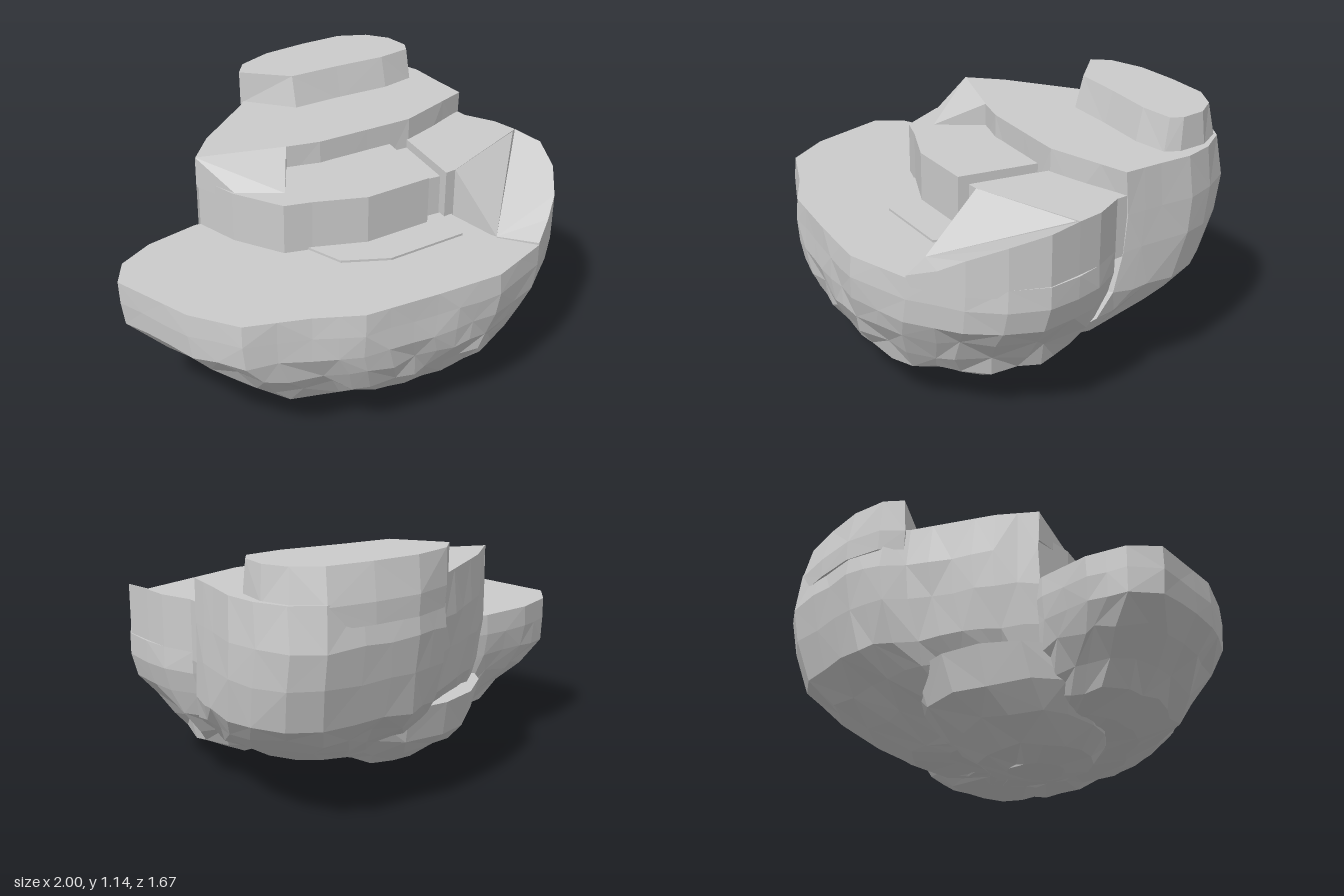
import * as THREE from 'three';
import { ConvexGeometry } from 'three/addons/geometries/ConvexGeometry.js';

const material = new THREE.MeshStandardMaterial({ color: 0xcccccc, flatShading: true, side: THREE.DoubleSide });

let seed = 7;
const noise = () => {
  seed = (seed * 16807) % 2147483647;
  return seed / 2147483647 - 0.5;
};

// Split the edges of an outline into pieces of about the given length
const refine = (outline, step) => outline.flatMap(([x, z], i) => {
  const [u, w] = outline[(i + 1) % outline.length];
  const n = Math.max(1, Math.round(Math.hypot(u - x, w - z) / step));
  return Array.from({ length: n }, (_, k) => [x + (u - x) * k / n, z + (w - z) * k / n]);
});

// Fit an outline into the box x0..x1, z0..z1
function fit(outline, [x0, x1, z0, z1]) {
  const xs = outline.map(p => p[0]), zs = outline.map(p => p[1]);
  const a = Math.min(...xs), b = Math.max(...xs), c = Math.min(...zs), d = Math.max(...zs);
  return outline.map(([x, z]) => [x0 + (x - a) / (b - a) * (x1 - x0), z0 + (z - c) / (d - c) * (z1 - z0)]);
}

// Closed rock from an outline (clockwise seen from above) and levels [y, box, roughness], top first
function rock(name, outline, levels, step = Infinity) {
  const base = refine(outline, step);
  const rings = levels.map(([y, box, rough = 0]) => (box ? fit(base, box) : base).map(([x, z]) =>
    new THREE.Vector3(x + noise() * rough, y + noise() * rough, z + noise() * rough)));
  const pos = [];
  const tri = (...v) => v.forEach(p => pos.push(p.x, p.y, p.z));
  const cap = (ring, up) => {
    const flat = ring.map(p => new THREE.Vector2(p.x, p.z));
    for (const [i, j, k] of THREE.ShapeUtils.triangulateShape(flat, [])) {
      const [a, b, c] = [ring[i], ring[j], ring[k]];
      const faceUp = (b.z - a.z) * (c.x - a.x) - (b.x - a.x) * (c.z - a.z) > 0;
      if (faceUp === up) tri(a, b, c); else tri(a, c, b);
    }
  };
  cap(rings[0], true);
  cap(rings[rings.length - 1], false);
  for (let r = 0; r + 1 < rings.length; r++) {
    const n = base.length;
    for (let i = 0; i < n; i++) {
      const j = (i + 1) % n, [a, b, c, d] = [rings[r][i], rings[r][j], rings[r + 1][j], rings[r + 1][i]];
      if ((i + r) % 2) { tri(a, b, c); tri(a, c, d); } else { tri(a, b, d); tri(b, c, d); }
    }
  }
  const geometry = new THREE.BufferGeometry();
  geometry.setAttribute('position', new THREE.Float32BufferAttribute(pos, 3));
  geometry.computeVertexNormals();
  const mesh = new THREE.Mesh(geometry, material);
  mesh.name = name;
  return mesh;
}

function hull(name, points) {
  const mesh = new THREE.Mesh(new ConvexGeometry(points.map(p => new THREE.Vector3(...p))), material);
  mesh.name = name;
  return mesh;
}

export function createModel() {
  const group = new THREE.Group();
  group.name = 'terracedRock';

  // Broad front rock with the flat lower terrace
  group.add(rock('frontRock', [
    [-1, 0.19], [-0.94, 0.06], [-0.79, -0.04], [-0.56, -0.11], [0.1, -0.15], [0.82, -0.17], [0.91, -0.05],
    [0.96, 0.06], [1, 0.2], [0.96, 0.36], [0.88, 0.5], [0.7, 0.67], [0.43, 0.8], [0.13, 0.82], [-0.2, 0.83],
    [-0.4, 0.76], [-0.67, 0.7], [-0.83, 0.53]], [
    [0.675],
    [0.58, [-1, 1, -0.17, 0.835], 0.008],
    [0.48, [-0.99, 0.97, -0.16, 0.835], 0.015],
    [0.38, [-0.89, 0.91, -0.14, 0.81], 0.035],
    [0.28, [-0.76, 0.81, -0.1, 0.77], 0.04],
    [0.2, [-0.67, 0.77, -0.05, 0.71], 0.035],
    [0.14, [-0.5, 0.66, 0.02, 0.58], 0.02],
    [0.13, [-0.3, 0.45, 0.1, 0.45], 0.015]], 0.12));

  // Tall back rock: upper terrace, back wall and the receding underside
  group.add(rock('backRock', [
    [-0.54, -0.11], [-0.43, -0.27], [-0.3, -0.4], [-0.15, -0.55], [-0.1, -0.65], [0.05, -0.75], [0.3, -0.8],
    [0.46, -0.84], [0.6, -0.79], [0.7, -0.68], [0.76, -0.55], [0.78, -0.4], [0.81, -0.22], [0.46, -0.06],
    [0.36, -0.05], [0, -0.02], [-0.15, -0.04], [-0.35, -0.14]], [
    [1, [-0.54, 0.81, -0.81, -0.02]],
    [0.82, [-0.54, 0.815, -0.84, -0.02], 0.012],
    [0.66, [-0.54, 0.82, -0.81, -0.02], 0.015],
    [0.48, [-0.54, 0.82, -0.75, 0], 0.02],
    [0.37, [-0.53, 0.77, -0.62, 0.05], 0.04],
    [0.27, [-0.49, 0.7, -0.46, 0.15], 0.04],
    [0.17, [-0.44, 0.58, -0.29, 0.25], 0.03],
    [0.12, [-0.38, 0.3, -0.2, 0.3], 0.02]], 0.12));

  // Lump under the rock
  const lump = Array.from({ length: 16 }, (_, i) => {
    const a = i / 16 * Math.PI * 2;
    return [Math.cos(a), Math.sin(a)];
  });
  group.add(rock('bottomLump', lump, [
    [0.4, [-0.53, 0.45, -0.44, 0.42]],
    [0.24, [-0.51, 0.4, -0.37, 0.41], 0.03],
    [0.13, [-0.45, 0.25, -0.25, 0.39], 0.03],
    [0.05, [-0.33, 0.15, -0.13, 0.36], 0.02],
    [0.01, [-0.2, 0.02, -0.02, 0.24], 0.012]]));

  // Middle terrace, parted by a narrow sunken path
  group.add(rock('middleTerraceRight', [
    [-0.53, -0.11], [-0.35, -0.15], [0.36, -0.06], [0.36, 0.31], [0.05, 0.35], [-0.18, 0.29],
    [-0.3, 0.27], [-0.45, 0.08]], [[0.9], [0.64]]));
  group.add(rock('middleTerraceLeft', [
    [0.45, -0.08], [0.8, -0.26], [0.82, -0.17], [0.91, -0.05], [0.95, 0.06], [0.5, 0.29], [0.45, 0.3]],
    [[0.9], [0.64]]));
  group.add(rock('sunkenPath', [[0.35, -0.08], [0.46, -0.08], [0.46, 0.25], [0.35, 0.25]], [[0.86], [0.64]]));

  // Summit block
  group.add(rock('summit', [
    [-0.15, -0.55], [-0.1, -0.64], [0.05, -0.72], [0.25, -0.76], [0.45, -0.78], [0.58, -0.73], [0.66, -0.64],
    [0.69, -0.52], [0.67, -0.46], [0.52, -0.42], [0.28, -0.41], [0.05, -0.39]], [
    [1.14, [-0.15, 0.69, -0.77, -0.42]],
    [0.99, [-0.15, 0.7, -0.81, -0.38]],
    [0.9, [-0.14, 0.69, -0.81, -0.38]]]));

  // Slope from the upper to the middle terrace
  group.add(hull('terraceSlope', [
    [-0.54, -0.11, 0], [-0.35, -0.14, 0], [-0.15, -0.04, 0], [-0.25, 0.17, 0.1], [-0.44, 0.08, 0.1]]
    .flatMap(([x, z, drop]) => [[x, 1 - drop, z], [x, 0.86, z]])));

  // Low kerb in front of the middle terrace
  group.add(rock('kerb', [
    [-0.2, 0.28], [0.5, 0.26], [0.45, 0.46], [0.08, 0.51], [-0.12, 0.44]], [[0.685], [0.64]]));

  // Steep facet beside the path and the rim rising along the side
  group.add(hull('steepFacet', [
    [0.5, 0.9, 0.29], [0.94, 0.9, 0.06], [0.57, 0.68, 0.54], [0.5, 0.64, 0.29], [0.94, 0.64, 0.06]]));
  const rim = [
    [0.95, 0.9, 0.06], [0.995, 0.89, 0.2], [0.96, 0.85, 0.36], [0.88, 0.79, 0.5], [0.8, 0.73, 0.58],
    [0.7, 0.685, 0.67]];
  const valley = [0.57, 0.68, 0.54];
  for (let i = 0; i + 1 < rim.length; i++) {
    const corners = [valley, rim[i], rim[i + 1]];
    group.add(hull('risingRim', corners.flatMap(p => [p, [p[0], 0.64, p[2]]])));
  }
  return group;
}
